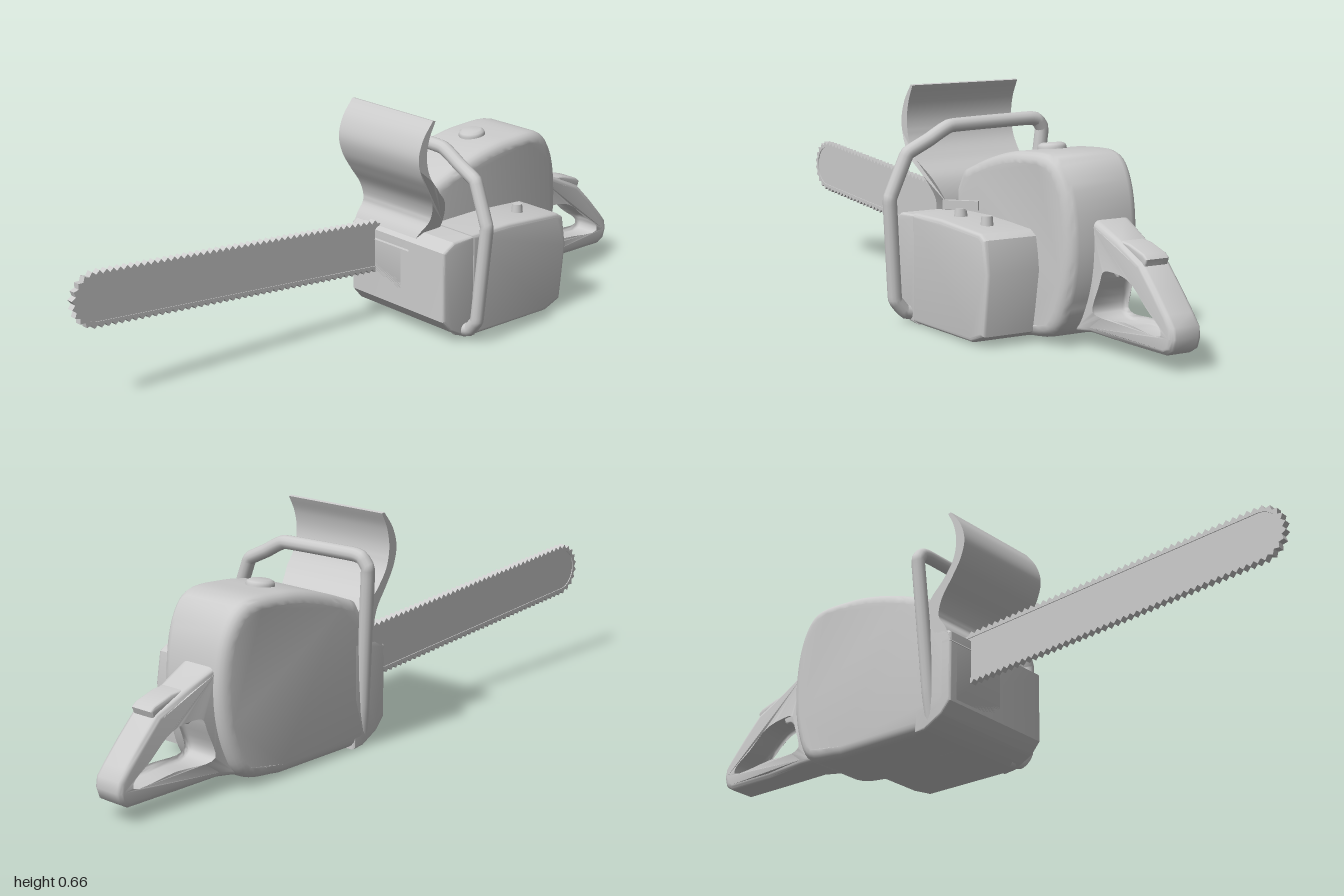
import * as THREE from 'three';
import { toCreasedNormals } from 'three/addons/utils/BufferGeometryUtils.js';

const material = new THREE.MeshStandardMaterial({ color: 0xcccccc, side: THREE.DoubleSide });
const V2 = (p) => new THREE.Vector2(p[0], p[1]);

function add(group, name, geometry, pos = [0, 0, 0], rot = [0, 0, 0]) {
  const mesh = new THREE.Mesh(geometry, material);
  mesh.name = name;
  mesh.position.set(...pos);
  mesh.rotation.set(...rot);
  group.add(mesh);
  return mesh;
}

// Side profile, points are [distance behind the origin, height], extruded from x0 to x1
function sideExtrude(points, x0, x1, { bevel = 0, holes = [], crease = 0.7, rule } = {}) {
  const shape = new THREE.Shape(points.map(V2));
  holes.forEach((h) => shape.holes.push(new THREE.Path(h.map(V2))));
  const geo = new THREE.ExtrudeGeometry(shape, {
    depth: x1 - x0 - 2 * bevel, steps: 1, bevelEnabled: bevel > 0,
    bevelThickness: bevel, bevelSize: bevel, bevelOffset: -bevel, bevelSegments: 4,
  });
  geo.rotateY(Math.PI / 2);
  geo.translate(x0 + bevel, 0, 0);
  if (rule) {
    const p = geo.attributes.position;
    const v = new THREE.Vector3();
    for (let i = 0; i < p.count; i++) {
      rule(v.fromBufferAttribute(p, i));
      p.setXYZ(i, v.x, v.y, v.z);
    }
  }
  return toCreasedNormals(geo, crease);
}

// Smooth a run of profile points
const smooth = (pts, n, closed = false) =>
  new THREE.CatmullRomCurve3(pts.map((p) => new THREE.Vector3(p[0], p[1], 0)), closed, 'centripetal')
    .getPoints(n).slice(0, closed ? -1 : undefined).map((p) => [p.x, p.y]);

// Guide bar outline, grown by an offset
function barOutline(r) {
  const shape = new THREE.Shape();
  shape.moveTo(0.07, 0.226 - r);
  shape.lineTo(-0.93, 0.298 - r);
  shape.absarc(-0.93, 0.298, r, -Math.PI / 2, Math.PI / 2, true);
  shape.lineTo(0.07, 0.226 + r);
  return shape;
}

export function createModel() {
  const model = new THREE.Group();
  model.name = 'chainsaw';

  // Engine housing
  const back = smooth([[0.15, 0.425], [0.26, 0.467], [0.36, 0.495], [0.45, 0.508], [0.59, 0.503],
    [0.65, 0.43], [0.675, 0.27], [0.65, 0.12], [0.6, 0.035], [0.46, 0.006]], 48);
  add(model, 'engineHousing', sideExtrude(
    [[0.14, 0.004], [0.07, 0.035], [0.04, 0.08], [0.04, 0.27], [0.1, 0.34], ...back],
    -0.22, 0.03, {
      bevel: 0.03,
      rule: (v) => { // narrows towards the rear
        const t = Math.max(0, (-v.z - 0.5) / 0.18);
        v.x = -0.11 + (v.x + 0.11) * (1 - 0.13 * t * t);
      },
    }));

  // Front block and side tank
  add(model, 'frontBlock', sideExtrude(
    [[0.17, 0], [0.13, 0.004], [0.07, 0.035], [0.04, 0.07], [0.04, 0.28], [0.08, 0.305], [0.17, 0.31]],
    -0.22, 0.185, { bevel: 0.008, crease: 0.4 }));
  add(model, 'sideTank', sideExtrude(
    [[0.15, 0.003], [0.15, 0.312], [0.3, 0.316], [0.5, 0.305], [0.525, 0.29], [0.54, 0.2], [0.52, 0.03],
      [0.46, 0.006]], -0.05, 0.187, { bevel: 0.012, crease: 0.5 }));

  // Hand guard: curved sheet whose lower outer corner is cut on a slant
  const guardFront = smooth([[0.045, 0.66], [0.008, 0.61], [-0.008, 0.555], [0.005, 0.5], [0.035, 0.45],
    [0.075, 0.39], [0.085, 0.34], [0.06, 0.3], [0.038, 0.25]], 40);
  const guardBack = smooth([[0.14, 0.25], [0.14, 0.34], [0.118, 0.4], [0.07, 0.45], [0.035, 0.5],
    [0.023, 0.555], [0.032, 0.61], [0.055, 0.658]], 40);
  add(model, 'handGuard', sideExtrude([...guardFront, ...guardBack], -0.22, 0.13, {
    rule: (v) => { if (v.x > 0) v.x = Math.min(0.13, Math.max(0.035, 0.13 - (0.455 - v.y) * 0.49)); },
  }));

  // Wrap-around front handle
  const wrap = new THREE.CatmullRomCurve3([
    [-0.2, 0.03, -0.12], [-0.212, 0.12, -0.125], [-0.245, 0.5, -0.143], [-0.247, 0.525, -0.145],
    [-0.23, 0.55, -0.147], [-0.2, 0.556, -0.147], [0.06, 0.55, -0.147], [0.13, 0.515, -0.147],
    [0.192, 0.485, -0.146], [0.203, 0.475, -0.146], [0.25, 0.365, -0.142], [0.253, 0.345, -0.142],
    [0.232, 0.08, -0.13], [0.228, 0.065, -0.13], [0.2, 0.033, -0.13], [0.14, 0.02, -0.13],
  ].map((p) => new THREE.Vector3(...p)), false, 'catmullrom', 0.15);
  add(model, 'frontHandle', new THREE.TubeGeometry(wrap, 150, 0.02, 12));

  // Rear handle loop, wider where it meets the housing
  const outer = [[0.6, 0.38], [0.67, 0.345], [0.76, 0.305], [0.86, 0.26], [0.92, 0.2], [0.97, 0.145],
    [0.995, 0.115], [1, 0.085], [0.99, 0.055], [0.965, 0.04], [0.8, 0.038], [0.66, 0.042], [0.6, 0.035]];
  const hole = smooth([[0.655, 0.1], [0.68, 0.18], [0.7, 0.225], [0.76, 0.232], [0.83, 0.215],
    [0.9, 0.16], [0.965, 0.11], [0.96, 0.075], [0.8, 0.08], [0.68, 0.078]], 40, true);
  add(model, 'rearHandle', sideExtrude(outer, -0.167, -0.07, {
    bevel: 0.015, holes: [hole], crease: 0.8,
    rule: (v) => {
      const t = THREE.MathUtils.clamp((v.z + 0.8) / 0.2, 0, 1);
      v.x = -0.118 + (v.x + 0.118) * (1 + 0.5 * t * t);
    },
  }));
  add(model, 'trigger', sideExtrude(
    smooth([[0.7, 0.26], [0.705, 0.215], [0.73, 0.198], [0.745, 0.21], [0.77, 0.215], [0.78, 0.25]], 16),
    -0.14, -0.095, { bevel: 0.006 }));
  add(model, 'throttleLock', sideExtrude(
    [[0.74, 0.305], [0.8, 0.3], [0.86, 0.282], [0.875, 0.27], [0.865, 0.245], [0.78, 0.28]],
    -0.155, -0.08, { bevel: 0.006 }));

  // Guide bar and toothed chain
  const plate = new THREE.ExtrudeGeometry(barOutline(0.068), { depth: 0.016, bevelEnabled: false, curveSegments: 24 });
  plate.rotateY(Math.PI / 2);
  add(model, 'guideBar', plate, [-0.13, 0, 0]);
  const ring = barOutline(0.07).getSpacedPoints(204);
  const teeth = ring.map((p, i) => {
    const a = ring[Math.max(i - 1, 0)];
    const b = ring[Math.min(i + 1, ring.length - 1)];
    const normal = new THREE.Vector2(a.y - b.y, b.x - a.x).normalize();
    const inTip = p.x < 0.05;
    return p.clone().addScaledVector(normal, inTip && i % 2 ? 0.011 : 0);
  });
  const chainShape = new THREE.Shape(teeth);
  chainShape.holes.push(new THREE.Path(barOutline(0.062).getPoints(24)));
  const chain = new THREE.ExtrudeGeometry(chainShape, { depth: 0.021, bevelEnabled: false });
  chain.rotateY(Math.PI / 2);
  add(model, 'chain', chain, [-0.1325, 0, 0]);

  // Filler cap on the housing
  const cap = [[0, 0.014], [0.028, 0.013], [0.037, 0.008], [0.04, 0], [0.04, -0.02]].map(V2).reverse();
  add(model, 'topCap', new THREE.LatheGeometry(cap, 28), [-0.1, 0.508, -0.415], [0.12, 0, 0]);

  // Wing knob and small button on the tank
  const knob = new THREE.Group();
  knob.name = 'wingKnob';
  knob.position.set(0.105, 0.31, -0.275);
  knob.rotation.y = -Math.PI / 4;
  add(knob, 'knobStem', new THREE.CylinderGeometry(0.016, 0.02, 0.03, 16), [0, 0.012, 0]);
  add(knob, 'knobWing', new THREE.BoxGeometry(0.1, 0.026, 0.014), [0, 0.036, 0]);
  model.add(knob);
  add(model, 'tankButton', new THREE.CylinderGeometry(0.015, 0.018, 0.03, 20), [0.105, 0.32, -0.41]);

  return model;
}
